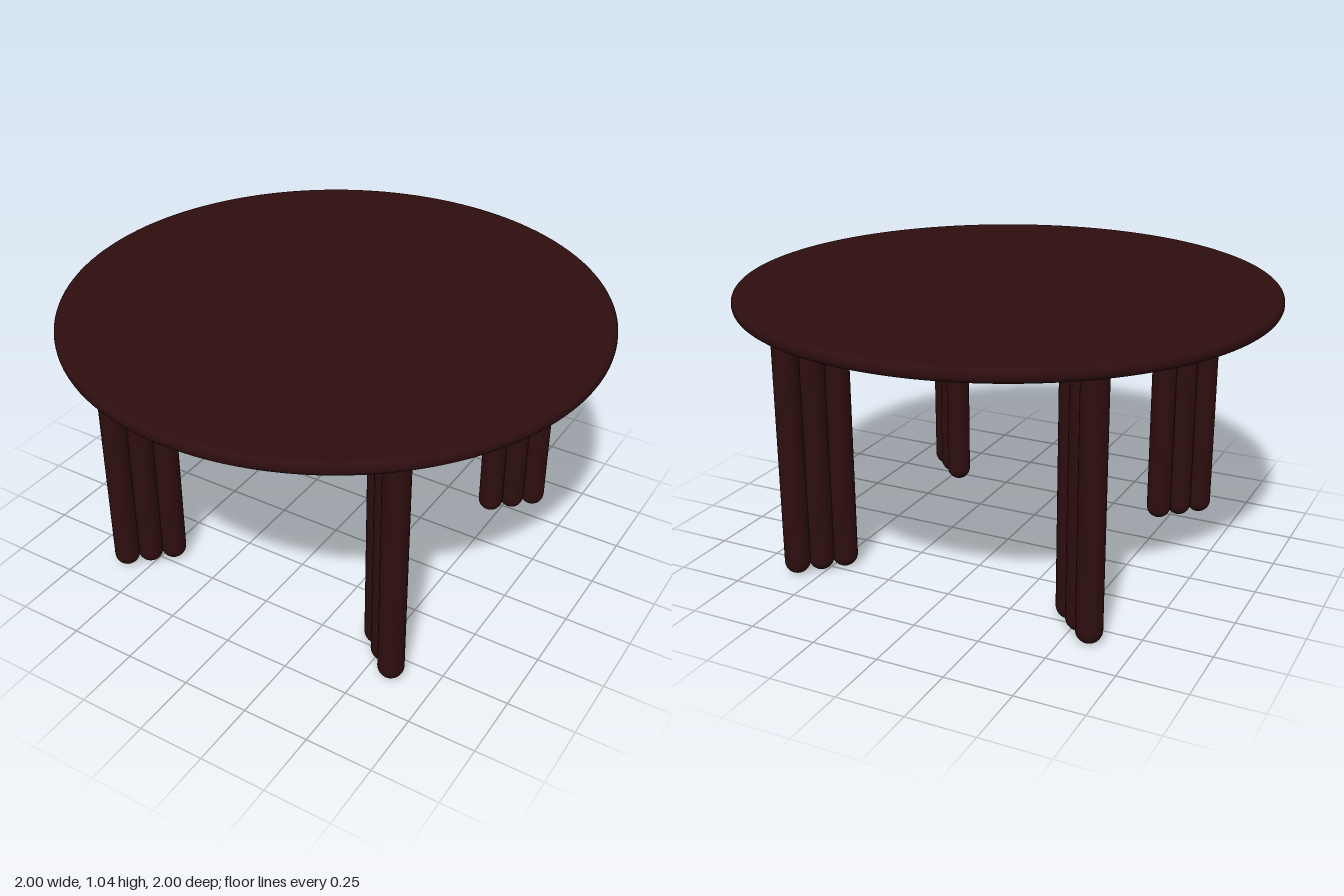
import * as THREE from 'three';

const TOP_Y = 1.045, THICK = 0.05, EDGE = 0.022;   // tabletop
const POST_R = 0.048, SPACING = 0.09, LEG_DIST = 0.743; // legs

// Quarter-circle of profile points around (cx, cy)
function arc(cx, cy, r, from, to, steps) {
  const pts = [];
  for (let i = 0; i <= steps; i++) {
    const a = from + (to - from) * i / steps;
    pts.push(new THREE.Vector2(Math.max(0, cx + r * Math.cos(a)), cy + r * Math.sin(a)));
  }
  return pts;
}

export function createModel() {
  const model = new THREE.Group();
  model.name = 'roundTable';
  const wood = new THREE.MeshStandardMaterial({ color: 0x2e0e0f });
  wood.name = 'darkWood';

  // Round tabletop with a softened edge; doubled points keep the flat faces flat
  const low = TOP_Y - THICK, cx = 1 - EDGE;
  const topProfile = [
    new THREE.Vector2(0, low),
    new THREE.Vector2(cx - 0.001, low),
    ...arc(cx, low + EDGE, EDGE, -Math.PI / 2, 0, 6),
    ...arc(cx, TOP_Y - EDGE, EDGE, 0, Math.PI / 2, 6),
    new THREE.Vector2(cx - 0.001, TOP_Y),
    new THREE.Vector2(0, TOP_Y),
  ];
  const top = new THREE.Mesh(new THREE.LatheGeometry(topProfile, 128), wood);
  top.name = 'tabletop';
  model.add(top);

  // Post with a hemispherical foot, running up into the tabletop
  const postProfile = [
    ...arc(0, POST_R, POST_R, -Math.PI / 2, 0, 10),
    new THREE.Vector2(POST_R, low + 0.01),
  ];
  const postGeometry = new THREE.LatheGeometry(postProfile, 32);

  // Four diagonal legs, each a radial row of three overlapping posts
  for (let i = 0; i < 4; i++) {
    const leg = new THREE.Group();
    leg.name = 'leg' + (i + 1);
    leg.rotation.y = Math.PI / 4 + i * Math.PI / 2;
    for (let j = -1; j <= 1; j++) {
      const post = new THREE.Mesh(postGeometry, wood);
      post.name = 'legPost';
      post.position.x = LEG_DIST + j * SPACING;
      leg.add(post);
    }
    model.add(leg);
  }
  return model;
}
